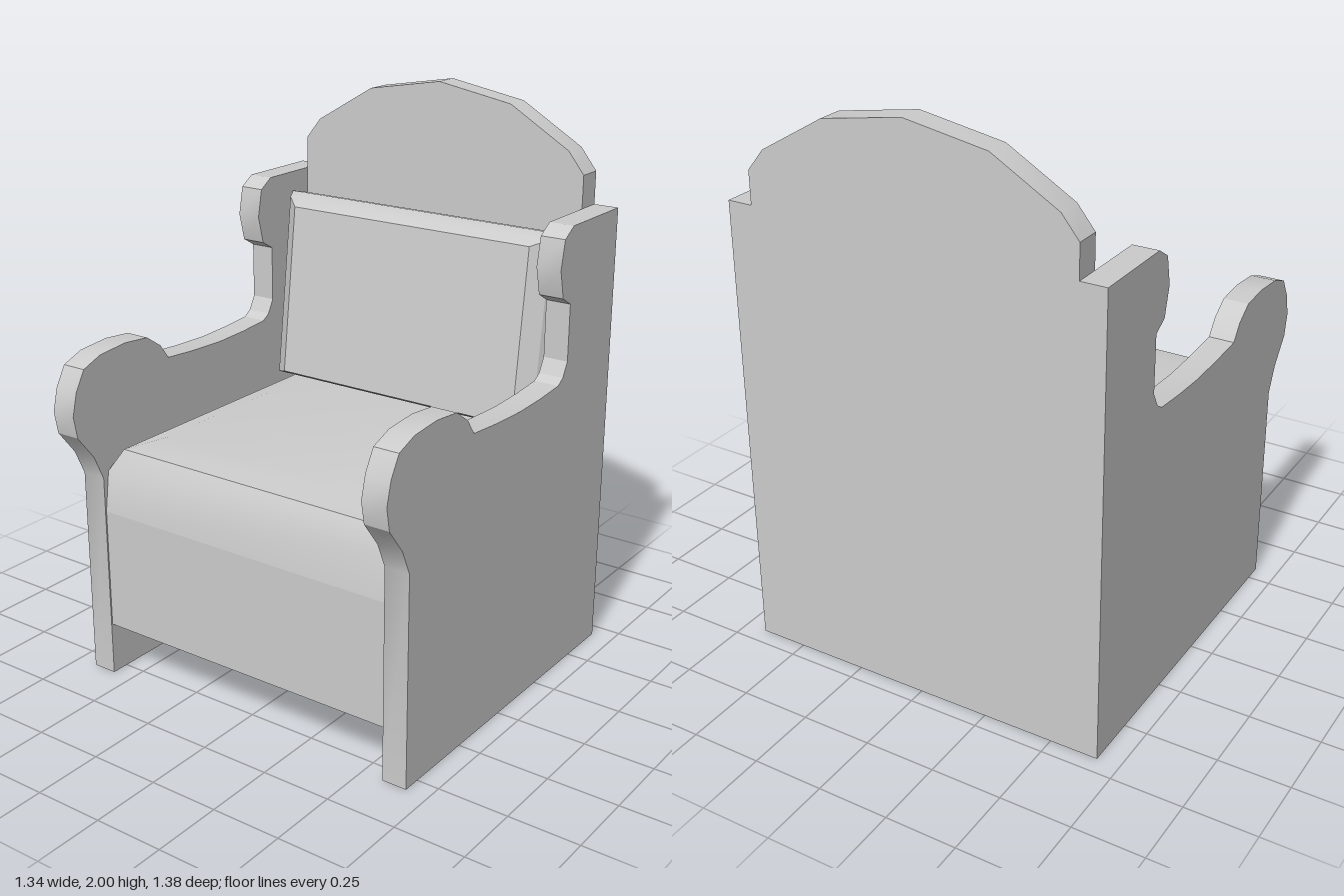
import * as THREE from 'three';
import { toCreasedNormals } from 'three/addons/utils/BufferGeometryUtils.js';

const grey = new THREE.MeshStandardMaterial({ color: 0xcccccc });
const thin = new THREE.MeshStandardMaterial({ color: 0xcccccc, side: THREE.DoubleSide });

function part(name, geometry, material = grey) {
  const mesh = new THREE.Mesh(geometry, material);
  mesh.name = name;
  return mesh;
}

// Panel cut from an outline, extruded along z
function panel(points, depth) {
  const shape = new THREE.Shape(points.map(([x, y]) => new THREE.Vector2(x, y)));
  const geometry = new THREE.ExtrudeGeometry(shape, { depth, bevelEnabled: false });
  return toCreasedNormals(geometry, 0.45);
}

// Skin over four-cornered rings, capped at the end and optionally at the start
function loft(rings, capStart, crease) {
  const pos = [];
  const quad = (a, b, c, d) => pos.push(...a, ...b, ...c, ...a, ...c, ...d);
  for (let r = 0; r < rings.length - 1; r++) {
    for (let i = 0; i < 4; i++) {
      const j = (i + 1) % 4;
      quad(rings[r][i], rings[r][j], rings[r + 1][j], rings[r + 1][i]);
    }
  }
  quad(...rings[rings.length - 1]);
  if (capStart) quad(...[...rings[0]].reverse());
  const geometry = new THREE.BufferGeometry();
  geometry.setAttribute('position', new THREE.Float32BufferAttribute(pos, 3));
  return toCreasedNormals(geometry, crease);
}

export function createModel() {
  const group = new THREE.Group();
  group.name = 'armchair';

  // Side panels with scrolled arm and wing, outline as (z, y)
  const sideOutline = [
    [-0.69, 0], [0.565, 0], [0.565, 0.75], [0.605, 0.84], [0.675, 0.93],
    [0.69, 1.01], [0.67, 1.09], [0.63, 1.16], [0.55, 1.19], [0.43, 1.2],
    [0.32, 1.19], [0.255, 1.145], [0.215, 1.09], [0.08, 1.08], [-0.07, 1.075],
    [-0.2, 1.08], [-0.32, 1.09], [-0.35, 1.11], [-0.377, 1.16], [-0.377, 1.36],
    [-0.325, 1.39], [-0.3, 1.49], [-0.32, 1.59], [-0.375, 1.625], [-0.69, 1.625],
  ];
  for (const [name, x] of [['leftSide', 0.67], ['rightSide', -0.58]]) {
    const side = part(name, panel(sideOutline, 0.09).rotateY(-Math.PI / 2));
    side.position.x = x;
    group.add(side);
  }

  // Back panel with arched crest
  const crest = [[0.58, 1.74], [0.52, 1.815], [0.29, 1.95]];
  const back = part('backPanel', panel([
    [-0.58, 0], [0.58, 0], ...crest, [0, 2],
    ...crest.map(([x, y]) => [-x, y]).reverse(),
  ], 0.09));
  back.position.z = -0.69;
  group.add(back);

  // Board under the front of the seat
  const apron = part('frontApron', new THREE.BoxGeometry(1.16, 0.435, 0.09));
  apron.position.set(0, 0.4075, 0.515);
  group.add(apron);

  // Seat cushion, open below: half width, height, front z
  const seatRings = [
    [0.58, 0.625, 0.56], [0.58, 0.77, 0.54], [0.54, 0.845, 0.5], [0.45, 0.872, 0.38],
  ].map(([x, y, z]) => [[-x, y, z], [x, y, z], [x, y, -0.598], [-x, y, -0.598]]);
  group.add(part('seatCushion', loft(seatRings, false, 0.6), thin));

  // Leaning back cushion: half width, bottom y and z, top y and z
  const pillowRings = [
    [0.49, 0.905, -0.5, 1.52, -0.575],
    [0.545, 0.885, -0.465, 1.545, -0.548],
    [0.572, 0.875, -0.417, 1.555, -0.5],
    [0.548, 0.883, -0.37, 1.545, -0.452],
    [0.492, 0.905, -0.33, 1.522, -0.405],
  ].map(([x, y0, z0, y1, z1]) => [[-x, y0, z0], [x, y0, z0], [x, y1, z1], [-x, y1, z1]]);
  group.add(part('backCushion', loft(pillowRings, true, 0.4)));

  return group;
}
